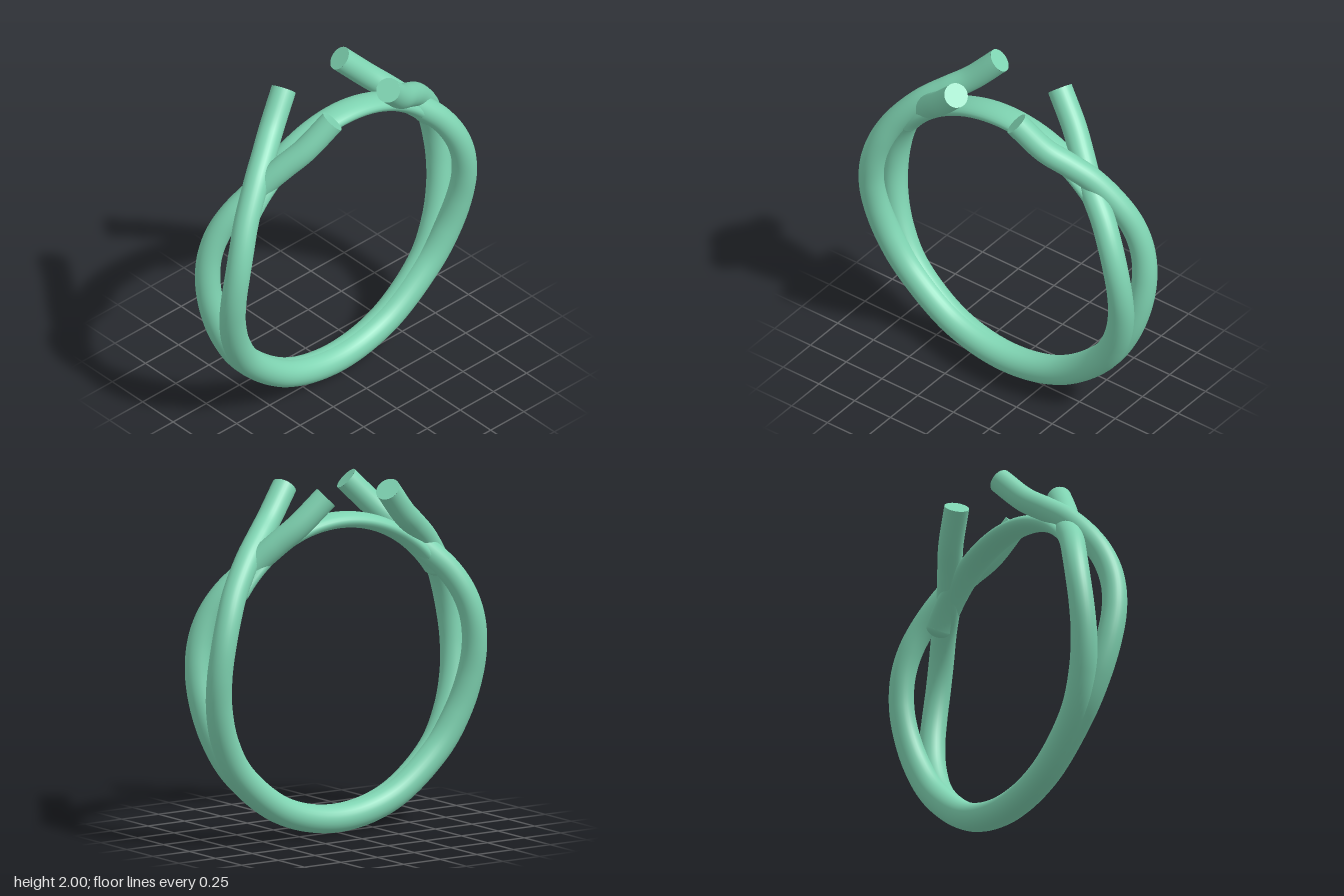
import * as THREE from 'three';

const CENTRE_Y = 0.94;
const material = new THREE.MeshStandardMaterial({ color: 0x7fd4b2, roughness: 0.6 });

// Point on the ring: angle in degrees from the bottom, radius, depth
function ringPoint(deg, r, z) {
  const a = THREE.MathUtils.degToRad(deg);
  return new THREE.Vector3(r * Math.sin(a), CENTRE_Y - r * Math.cos(a), z);
}

// Half paths [angle, radius, z] from the bottom to the free end
const overHalf = [
  [25, 0.861, -0.01], [51, 0.861, -0.022], [67, 0.863, -0.05], [81, 0.867, -0.083],
  [93, 0.873, -0.11], [104, 0.878, -0.119], [114, 0.884, -0.104], [124, 0.89, -0.066],
  [138, 0.897, 0.003], [148, 0.902, 0.07], [157, 0.925, 0.136], [168.2, 1.03, 0.2],
];
const underHalf = [
  [25, 0.861, -0.01], [51, 0.861, -0.022], [67, 0.862, -0.05], [81, 0.864, -0.083],
  [93, 0.868, -0.11], [104, 0.871, -0.119], [114, 0.87, -0.104], [124, 0.863, -0.066],
  [138, 0.85, 0.003], [148, 0.876, 0.07], [157, 0.921, 0.136], [168.2, 1.03, 0.2],
];

// One continuous strand: under on the right half, over on the left half
function createStrand() {
  const strand = new THREE.Group();
  const points = [
    ...underHalf.map(([a, r, z]) => ringPoint(-a, r, z)).reverse(),
    ringPoint(0, 0.861, -0.009),
    ...overHalf.map(([a, r, z]) => ringPoint(a, r, z)),
  ];
  const curve = new THREE.CatmullRomCurve3(points, false, 'centripetal');
  curve.arcLengthDivisions = 800;

  // Sweep, then thin the strand from the bottom of the ring to its ends
  const rows = 280, sides = 28, endRadius = 0.07, baseRadius = 0.079;
  const tube = new THREE.TubeGeometry(curve, rows, endRadius, sides);
  const pos = tube.attributes.position;
  const v = new THREE.Vector3();
  for (let i = 0; i <= rows; i++) {
    const c = curve.getPointAt(i / rows);
    const k = THREE.MathUtils.lerp(baseRadius, endRadius, THREE.MathUtils.smoothstep(c.y, 0.4, 1.15)) / endRadius;
    for (let j = 0; j <= sides; j++) {
      const n = i * (sides + 1) + j;
      v.fromBufferAttribute(pos, n).sub(c).multiplyScalar(k).add(c);
      pos.setXYZ(n, v.x, v.y, v.z);
    }
  }
  const body = new THREE.Mesh(tube, material);
  body.name = 'strandBody';
  strand.add(body);

  // Flat ends
  for (const [u, sign] of [[0, -1], [1, 1]]) {
    const cap = new THREE.Mesh(new THREE.CircleGeometry(endRadius, sides), material);
    cap.name = 'strandEnd';
    cap.position.copy(curve.getPointAt(u));
    cap.lookAt(curve.getTangentAt(u).multiplyScalar(sign).add(cap.position));
    strand.add(cap);
  }
  return strand;
}

// Flattened arc joining the two crossings at the top
function createBridge() {
  const bridge = new THREE.Group();
  bridge.name = 'topBridge';
  const radius = 0.825, half = 0.045, flatten = 1.9, endDeg = 126;
  const span = THREE.MathUtils.degToRad(360 - 2 * endDeg);
  const arc = new THREE.TorusGeometry(radius, half, 24, 80, span);
  arc.rotateZ(Math.PI / 2 - span / 2);
  arc.scale(1, 1, flatten);
  const arcMesh = new THREE.Mesh(arc, material);
  arcMesh.name = 'bridgeArc';
  arcMesh.position.y = CENTRE_Y;
  bridge.add(arcMesh);
  for (const side of [-1, 1]) {
    const end = new THREE.Mesh(new THREE.SphereGeometry(half, 24, 16), material);
    end.name = 'bridgeEnd';
    end.scale.z = flatten;
    end.position.copy(ringPoint(side * endDeg, radius, 0));
    bridge.add(end);
  }
  return bridge;
}

export function createModel() {
  const ring = new THREE.Group();
  ring.name = 'splitRing';

  // Two identical strands, half a turn apart
  for (const [name, turn] of [['backStrand', 0], ['frontStrand', Math.PI]]) {
    const strand = createStrand();
    strand.name = name;
    strand.rotation.y = turn;
    ring.add(strand);
  }
  ring.add(createBridge());
  return ring;
}
